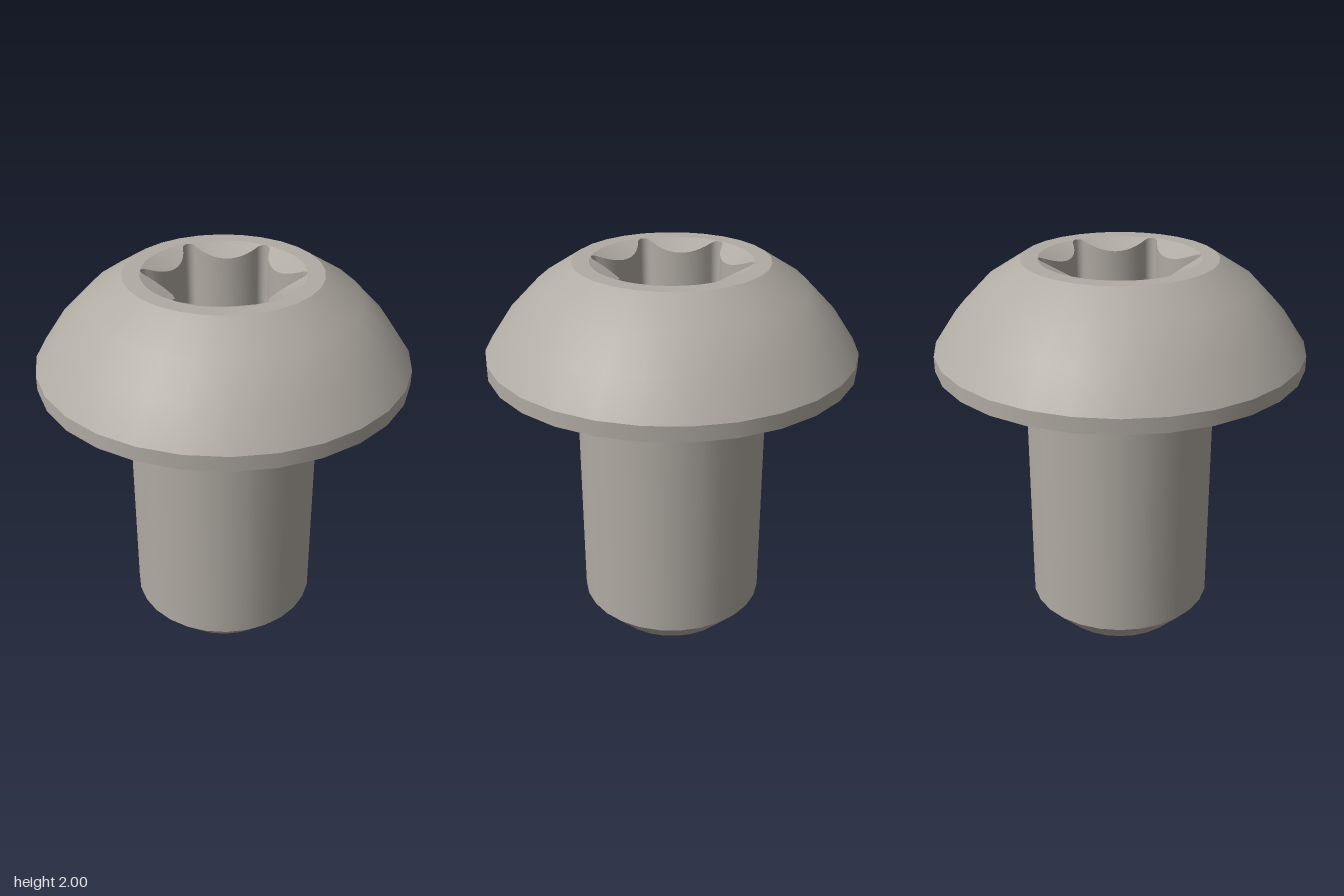
import * as THREE from 'three';

const SIDES = 28;
const TIP = 0.395, VALLEY = 0.28, TIP_ROUND = 0.037; // six-lobe socket
const SLOPE = 0.43, TOP = 2, FLOOR = 1.65;

// Six-lobe outline as [x, y] points, counter-clockwise, tips at 30 + 60k degrees
function socketOutline() {
  const e = TIP - TIP_ROUND, cos30 = Math.cos(Math.PI / 6);
  // valley radius that makes valley and tip arcs tangent
  const ri = (TIP_ROUND ** 2 - VALLEY ** 2 - e * e + 2 * e * VALLEY * cos30)
    / (2 * VALLEY - 2 * e * cos30 - 2 * TIP_ROUND);
  const c = VALLEY + ri;
  const tip = [e * cos30, e / 2];
  const touch = Math.atan2(tip[1], tip[0] - c); // direction from valley centre to tip centre
  const pts = [];
  for (let k = 0; k < 6; k++) {
    const turn = (k * Math.PI) / 3, cs = Math.cos(turn), sn = Math.sin(turn);
    const add = (x, y) => pts.push([x * cs - y * sn, x * sn + y * cs]);
    const half = Math.PI - touch;
    for (let i = 0; i < 12; i++) { // valley arc, bulging inwards
      const a = Math.PI + half - (2 * half * i) / 12;
      add(c + ri * Math.cos(a), ri * Math.sin(a));
    }
    const a0 = touch - Math.PI, a1 = Math.PI / 3 - a0; // tip arc, mirrored about 30 degrees
    for (let i = 0; i < 8; i++) {
      const a = a0 + ((a1 - a0) * i) / 8;
      add(tip[0] + TIP_ROUND * Math.cos(a), tip[1] + TIP_ROUND * Math.sin(a));
    }
  }
  return pts;
}

// Smooth surface between two closed loops of [x, y, z] points
function loft(upper, lower) {
  const n = upper.length, index = [];
  for (let i = 0; i < n; i++) {
    const j = (i + 1) % n;
    index.push(i, j, n + i, j, n + j, n + i);
  }
  const geo = new THREE.BufferGeometry();
  geo.setAttribute('position', new THREE.Float32BufferAttribute([...upper, ...lower].flat(), 3));
  geo.setIndex(index);
  geo.computeVertexNormals();
  return geo;
}

export function createModel() {
  const group = new THREE.Group();
  const steel = new THREE.MeshStandardMaterial({ color: 0xb0aba3 });
  steel.name = 'steel';
  const add = (name, geo) => {
    const mesh = new THREE.Mesh(geo, steel);
    mesh.name = name;
    group.add(mesh);
    return mesh;
  };
  const turned = (name, pts) =>
    add(name, new THREE.LatheGeometry(pts.map(([r, y]) => new THREE.Vector2(r, y)), SIDES));

  // Turned bands, split where the edges are sharp
  turned('shankEnd', [[0, 0], [0.345, 0]]);
  turned('shankChamfer', [[0.345, 0], [0.482, 0.145]]);
  turned('shank', [[0.482, 0.145], [0.482, 1.42]]);
  const fillet = [];
  for (let i = 0; i <= 5; i++) {
    const a = (i / 5) * Math.PI / 2;
    fillet.push([0.552 - 0.07 * Math.cos(a), 1.42 + 0.07 * Math.sin(a)]);
  }
  turned('neckFillet', fillet);
  turned('headUnderside', [[0.552, 1.49], [0.923, 1.49]]);
  turned('headRim', [[0.923, 1.49], [0.923, 1.565]]);
  turned('headDome', [[0.923, 1.565], [0.812, 1.73], [0.664, 1.884], [0.482, TOP]]);

  // Flat ring round the socket
  const outline = socketOutline();
  const circle = outline.map(([x, y]) => {
    const s = (TIP + 0.001) / Math.hypot(x, y);
    return [x * s, y * s];
  });
  const ring = new THREE.Shape(Array.from({ length: SIDES }, (_, i) => {
    const a = (i / SIDES) * Math.PI * 2;
    return new THREE.Vector2(0.482 * Math.cos(a), 0.482 * Math.sin(a));
  }));
  ring.holes.push(new THREE.Path(circle.map(([x, y]) => new THREE.Vector2(x, y))));
  const ringGeo = new THREE.ShapeGeometry(ring);
  ringGeo.rotateX(-Math.PI / 2);
  add('headTop', ringGeo).position.y = TOP;

  // Socket: countersink, fluted wall and conical floor
  const cone = (base) => ([x, y]) => [x, base - (TIP - Math.hypot(x, y)) * SLOPE, -y];
  const mouth = circle.map(([x, y]) => [x, TOP, -y]);
  const edge = outline.map(cone(TOP));
  const foot = outline.map(cone(FLOOR));
  const centre = outline.map(([x, y]) => cone(FLOOR)([x * 0.002, y * 0.002]));
  add('socketCountersink', loft(mouth, edge));
  add('socketWall', loft(edge, foot));
  add('socketFloor', loft(foot, centre));

  return group;
}
